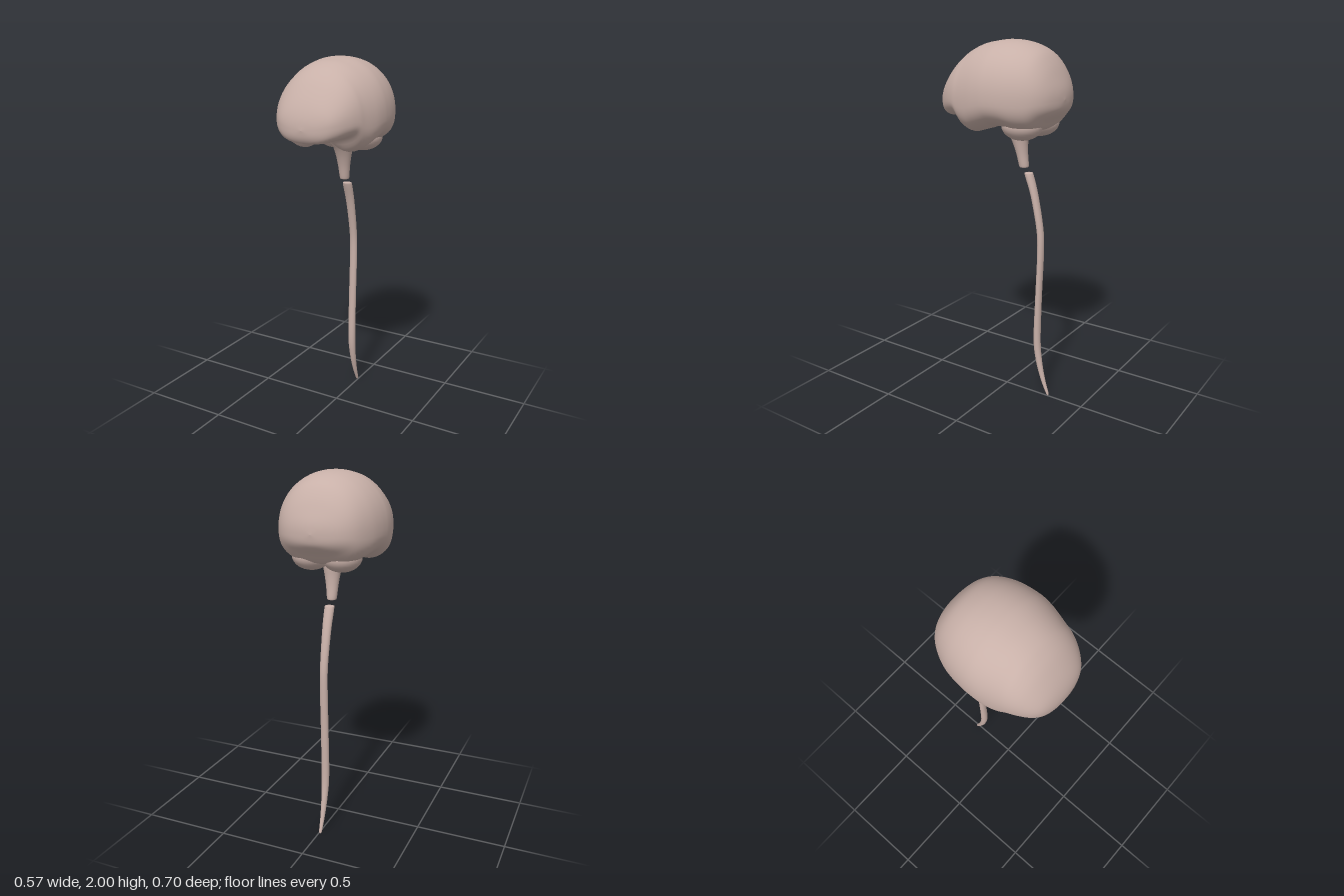
import * as THREE from 'three';

const material = new THREE.MeshStandardMaterial({ color: 0xc8b0a8, roughness: 0.8 });

// Catmull-Rom interpolation of whole rows, giving `steps` rows per span
function smoothRows(rows, steps) {
  const out = [];
  const row = i => rows[Math.min(rows.length - 1, Math.max(0, i))];
  for (let i = 0; i < rows.length - 1; i++) {
    for (let s = 0; s < steps; s++) {
      const t = s / steps;
      out.push(row(i).map((b, k) => {
        const a = row(i - 1)[k], c = row(i + 1)[k], d = row(i + 2)[k];
        return b + 0.5 * t * (c - a + t * (2 * a - 5 * b + 4 * c - d + t * (3 * (b - c) + d - a)));
      }));
    }
  }
  out.push(rows[rows.length - 1]);
  return out;
}

// Closed skin over rings; point(row, angle) returns [x, y, z]
function loft(name, rows, sides, point) {
  const positions = [], index = [];
  rows.forEach((row, i) => {
    for (let j = 0; j < sides; j++) {
      positions.push(...point(row, (j / sides) * Math.PI * 2));
      if (i === rows.length - 1) continue;
      const a = i * sides + j, b = i * sides + (j + 1) % sides;
      index.push(a, b, b + sides, a, b + sides, a + sides);
    }
  });
  const geometry = new THREE.BufferGeometry();
  geometry.setAttribute('position', new THREE.Float32BufferAttribute(positions, 3));
  geometry.setIndex(index);
  geometry.computeVertexNormals();
  const mesh = new THREE.Mesh(geometry, material);
  mesh.name = name;
  return mesh;
}

// Superellipse component
const power = (v, n) => Math.sign(v) * Math.pow(Math.abs(v), 2 / n);

// Cross-section of the cerebrum, with a raised middle between the temporal lobes
function cerebrumPoint([z, halfWidth, top, bottom, mid, groove], angle) {
  const c = Math.cos(angle), s = Math.sin(angle);
  const n = s > 0 ? 2.1 : 2.6;
  const x = Math.max(0, halfWidth) * power(c, n);
  let y = mid + (s > 0 ? top - mid : mid - bottom) * power(s, n);
  if (s < 0) y += groove * -s * Math.exp(-Math.pow(x / 0.085, 2));
  return [x, y, z];
}

// Horizontal elliptical ring for stem and cord
const ringPoint = ([y, z, rx, rz, x], angle) =>
  [x + rx * Math.cos(angle), y, z - rz * Math.sin(angle)];

function ellipsoid(name, x, y, z, rx, ry, rz) {
  const mesh = new THREE.Mesh(new THREE.SphereGeometry(1, 32, 20), material);
  mesh.name = name;
  mesh.position.set(x, y, z);
  mesh.scale.set(rx, ry, rz);
  return mesh;
}

export function createModel() {
  const group = new THREE.Group();
  group.name = 'brainAndSpinalCord';

  // Cerebrum, back to front: z, half width, top, bottom, widest height, groove
  const cerebrum = [
    [-0.352, 0, 1.71, 1.71, 1.71, 0],
    [-0.345, 0.065, 1.76, 1.665, 1.71, 0],
    [-0.325, 0.135, 1.815, 1.635, 1.71, 0],
    [-0.29, 0.19, 1.885, 1.6, 1.71, 0],
    [-0.24, 0.23, 1.945, 1.55, 1.71, 0],
    [-0.17, 0.262, 1.98, 1.54, 1.71, 0],
    [-0.1, 0.278, 1.996, 1.555, 1.71, 0],
    [-0.04, 0.284, 2.0, 1.555, 1.71, 0.03],
    [0, 0.284, 1.998, 1.54, 1.71, 0.06],
    [0.05, 0.279, 1.99, 1.523, 1.7, 0.08],
    [0.1, 0.268, 1.98, 1.51, 1.69, 0.09],
    [0.15, 0.254, 1.96, 1.53, 1.69, 0.07],
    [0.19, 0.242, 1.935, 1.592, 1.7, 0.01],
    [0.24, 0.218, 1.89, 1.592, 1.7, 0.01],
    [0.29, 0.182, 1.825, 1.585, 1.69, 0.01],
    [0.325, 0.138, 1.765, 1.592, 1.68, 0],
    [0.345, 0.075, 1.71, 1.62, 1.665, 0],
    [0.352, 0, 1.66, 1.66, 1.66, 0],
  ];
  group.add(loft('cerebrum', smoothRows(cerebrum, 4), 72, cerebrumPoint));

  // Cerebellum
  for (const side of [-1, 1]) {
    group.add(ellipsoid(side > 0 ? 'leftCerebellum' : 'rightCerebellum',
      side * 0.085, 1.572, -0.15, 0.105, 0.077, 0.11));
  }

  // Brain stem, bottom to top: y, z, x radius, z radius, x centre
  const stem = [
    [1.33, -0.105, 0, 0, -0.007],
    [1.331, -0.105, 0.021, 0.021, -0.007],
    [1.342, -0.104, 0.027, 0.027, -0.007],
    [1.4, -0.095, 0.033, 0.031, -0.005],
    [1.46, -0.085, 0.042, 0.041, -0.002],
    [1.51, -0.075, 0.052, 0.055, 0],
    [1.55, -0.06, 0.062, 0.065, 0],
    [1.62, -0.045, 0.075, 0.07, 0],
  ];
  group.add(loft('brainStem', smoothRows(stem, 3), 32, ringPoint));

  // Spinal cord, bottom to top
  const cord = [
    [0, -0.279, 0, 0, -0.007],
    [0.006, -0.277, 0.008, 0.007, -0.007],
    [0.09, -0.245, 0.013, 0.013, -0.007],
    [0.2, -0.217, 0.018, 0.018, -0.007],
    [0.335, -0.202, 0.022, 0.02, -0.007],
    [0.6, -0.208, 0.022, 0.018, -0.007],
    [0.865, -0.217, 0.022, 0.018, -0.007],
    [1.0, -0.21, 0.022, 0.019, -0.007],
    [1.18, -0.174, 0.025, 0.02, -0.007],
    [1.29, -0.139, 0.027, 0.023, -0.007],
    [1.303, -0.135, 0.021, 0.018, -0.007],
    [1.306, -0.134, 0, 0, -0.007],
  ];
  group.add(loft('spinalCord', smoothRows(cord, 4), 24, ringPoint));

  return group;
}
